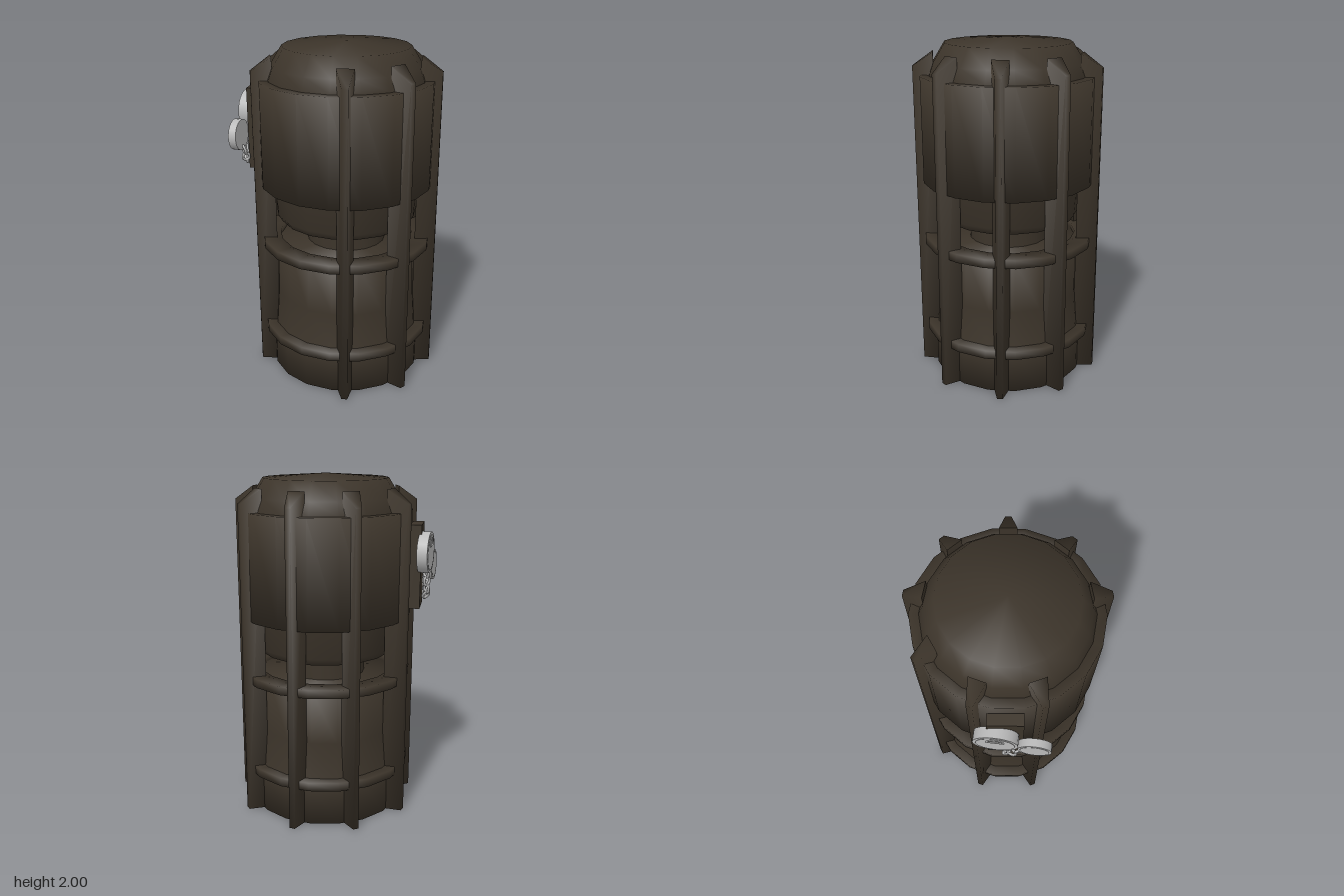
import * as THREE from 'three';
import { toCreasedNormals } from 'three/addons/utils/BufferGeometryUtils.js';

const SIDES = 18;
const AXIS_X = 0.04;
const SOFT = 1.6; // crease angle that also rounds the shading of square edges

function material(name, color) {
  const m = new THREE.MeshStandardMaterial({ color });
  m.name = name;
  return m;
}

export function createModel() {
  const brown = material('dark brown', 0x3c342a);
  const silver = material('silver', 0xbababa);

  const model = new THREE.Group();
  model.name = 'cagedCylinder';
  const cage = new THREE.Group();
  cage.name = 'cage';
  cage.position.x = AXIS_X;
  model.add(cage);

  function add(parent, name, geometry, mat) {
    const mesh = new THREE.Mesh(geometry, mat);
    mesh.name = name;
    parent.add(mesh);
    return mesh;
  }

  // Eighteen-sided turned part with a vertex on the x axis
  function turned(name, profile) {
    const points = profile.map(([r, y]) => new THREE.Vector2(r, y));
    const g = new THREE.LatheGeometry(points, SIDES, Math.PI / 2);
    return add(cage, name, toCreasedNormals(g, SOFT), brown);
  }
  const band = (name, inner, outer, low, high) =>
    turned(name, [[inner, low], [outer, low], [outer, high], [inner, high], [inner, low]]);

  // Lower body, hollow underneath
  turned('lowerBody', [[0, 0.24], [0.44, 0.24], [0.44, 0], [0.46, 0], [0.46, 0.24],
    [0.448, 0.285], [0.432, 0.5], [0.42, 0.82], [0, 0.82]]);

  // Narrow neck joining the body and the head
  turned('neck', [[0.236, 0.8], [0.236, 1.0]]);

  // Domed head and the thick drum around it
  turned('head', [[0, 0.96], [0.395, 0.96], [0.42, 1.0], [0.43, 1.15], [0.455, 1.22],
    [0.455, 1.8], [0.43, 1.87], [0.365, 1.975], [0, 2]]);
  band('drum', 0.42, 0.508, 1.18, 1.795);

  // Hoops
  band('lowerHoop', 0.4, 0.508, 0.235, 0.285);
  band('upperHoop', 0.4, 0.508, 0.8, 0.85);

  // Tapered upright fins with sloping tops; the front position is left open
  const finBox = new THREE.BoxGeometry(1, 1, 1);
  const p = finBox.attributes.position;
  for (let i = 0; i < p.count; i++) {
    const outer = p.getX(i) > 0;
    const top = p.getY(i) > 0;
    p.setXYZ(i, outer ? 0.543 : 0.425, top ? (outer ? 1.845 : 1.925) : 0,
      Math.sign(p.getZ(i)) * (outer ? 0.017 : 0.048));
  }
  const fin = toCreasedNormals(finBox, SOFT);
  for (let i = 0; i < 9; i++) {
    const degrees = -50 + i * 40;
    if (degrees === 270) continue;
    add(cage, 'fin', fin, brown).rotation.y = THREE.MathUtils.degToRad(degrees);
  }

  // Mounting plate standing just off the front right of the drum
  const plate = add(model, 'mountingPlate', new THREE.BoxGeometry(0.19, 0.48, 0.065), brown);
  plate.position.set(AXIS_X - 0.866 * 0.538 - 0.005, 1.485, 0.5 * 0.538 - 0.009);
  plate.rotation.y = -Math.PI / 3;

  // Round metal tags with a thin raised face
  const facing = Math.atan2(-0.915, 0.4);
  function tag(name, x, y, z, radius, depth) {
    const g = new THREE.Group();
    g.name = name;
    g.position.set(x, y, z);
    g.rotation.y = facing;
    const disc = (r, d) => new THREE.CylinderGeometry(r, r, d, 24).rotateX(Math.PI / 2);
    add(g, 'tagDisc', disc(radius, depth), silver);
    add(g, 'tagFace', disc(radius * 0.86, 0.004), silver).position.z = depth / 2;
    model.add(g);
    return g;
  }
  const large = tag('largeTag', -0.502, 1.567, 0.245, 0.118, 0.06);
  tag('smallTag', -0.415, 1.465, 0.43, 0.09, 0.045);

  // Half-round loop on the large tag
  const loop = add(large, 'tagLoop', new THREE.TorusGeometry(0.042, 0.006, 6, 16, Math.PI), silver);
  loop.position.set(0, 0.04, 0.031);
  const bar = add(large, 'tagLoopBar', new THREE.CylinderGeometry(0.006, 0.006, 0.09, 6), silver);
  bar.position.set(0, 0.04, 0.031);
  bar.rotation.z = Math.PI / 2;

  // Chain hanging between the two tags
  const path = new THREE.CatmullRomCurve3([
    [-0.495, 1.47, 0.262], [-0.488, 1.37, 0.29], [-0.455, 1.295, 0.33],
    [-0.41, 1.31, 0.38], [-0.395, 1.395, 0.418],
  ].map((v) => new THREE.Vector3(...v)));
  const link = new THREE.TorusGeometry(0.02, 0.008, 6, 12).scale(1.35, 1, 1);
  const links = 7;
  for (let i = 0; i < links; i++) {
    const t = (i + 0.5) / links;
    const mesh = add(model, 'chainLink', link, silver);
    mesh.position.copy(path.getPointAt(t));
    mesh.quaternion.setFromUnitVectors(new THREE.Vector3(1, 0, 0), path.getTangentAt(t));
    mesh.rotateX((i % 2) * Math.PI / 2);
  }

  return model;
}
